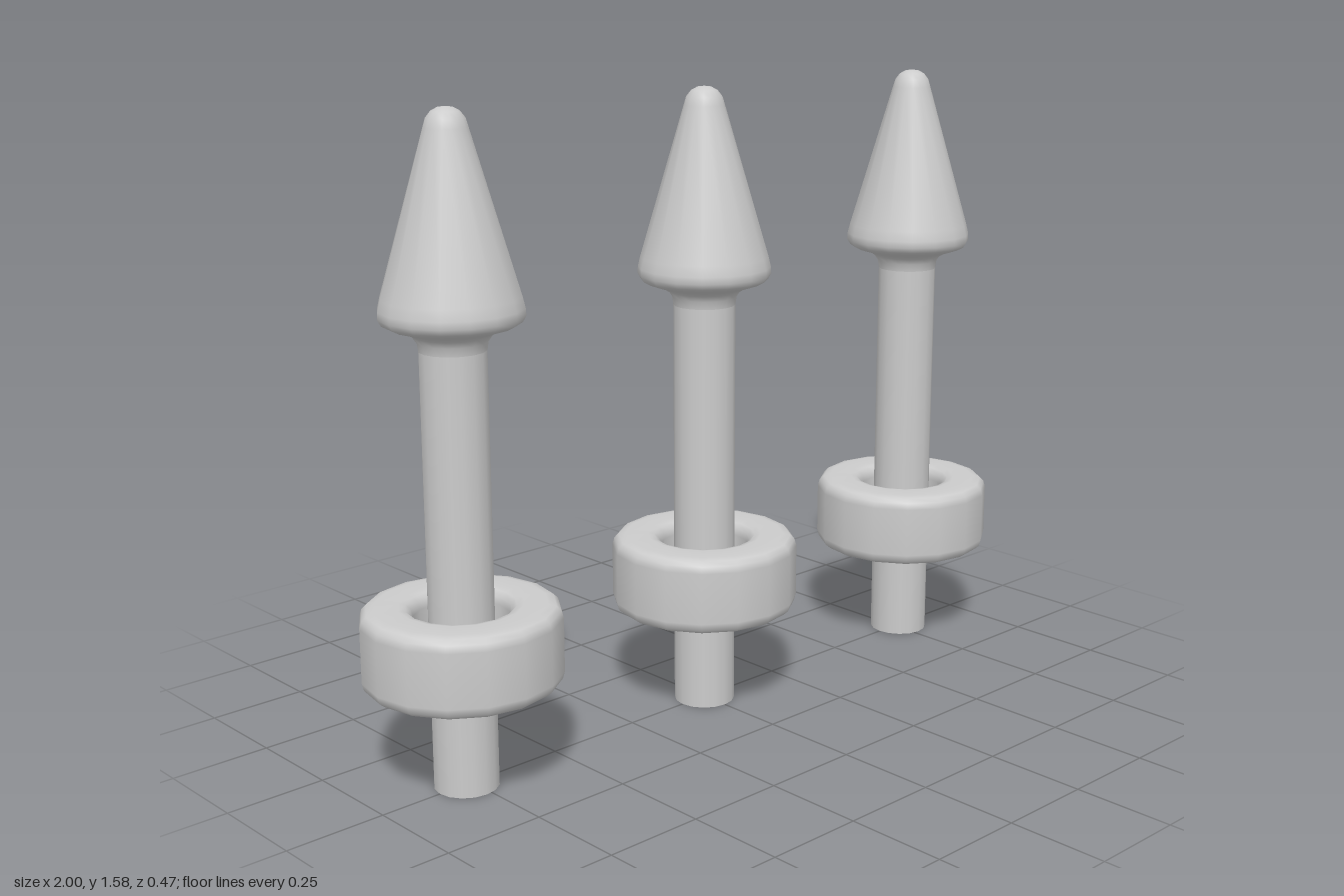
import * as THREE from 'three';

const SIDES = 16;
const material = new THREE.MeshStandardMaterial({ color: 0xcccccc, side: THREE.DoubleSide });

function lathe(name, profile) {
  const points = profile.map(([r, y]) => new THREE.Vector2(r, y));
  const mesh = new THREE.Mesh(new THREE.LatheGeometry(points, SIDES), material);
  mesh.name = name;
  return mesh;
}

// One spike: open-bottomed shaft, flared pointed head and a recessed collar
function createSpike() {
  const spike = new THREE.Group();

  const shaft = lathe('shaft', [[0.077, 0], [0.077, 1.04]]);

  const head = lathe('head', [
    [0.077, 1.04], [0.08, 1.06], [0.09, 1.075], [0.107, 1.085],
    [0.14, 1.095], [0.157, 1.104], [0.165, 1.118], [0.164, 1.135], [0.158, 1.16],
    [0.05, 1.53], [0.044, 1.55], [0.032, 1.565], [0.017, 1.573], [0, 1.575],
  ]);

  // Collar: flat underside, rounded rim, hollow around the shaft on top
  const underside = lathe('collarUnderside', [[0.077, 0.254], [0.2, 0.254]]);
  const collar = lathe('collar', [
    [0.2, 0.254], [0.218, 0.257], [0.23, 0.267], [0.235, 0.285],
    [0.235, 0.415], [0.23, 0.432], [0.219, 0.443], [0.2, 0.447],
    [0.145, 0.447], [0.128, 0.443], [0.116, 0.432], [0.112, 0.415], [0.112, 0.35],
  ]);
  const floor = lathe('collarRecess', [[0.112, 0.35], [0.077, 0.35]]);

  spike.add(shaft, head, underside, collar, floor);
  return spike;
}

export function createModel() {
  const model = new THREE.Group();
  model.name = 'spikeRow';
  const names = ['rightSpike', 'middleSpike', 'leftSpike'];
  names.forEach((name, i) => {
    const spike = createSpike();
    spike.name = name;
    spike.position.x = (i - 1) * 0.765;
    model.add(spike);
  });
  return model;
}
